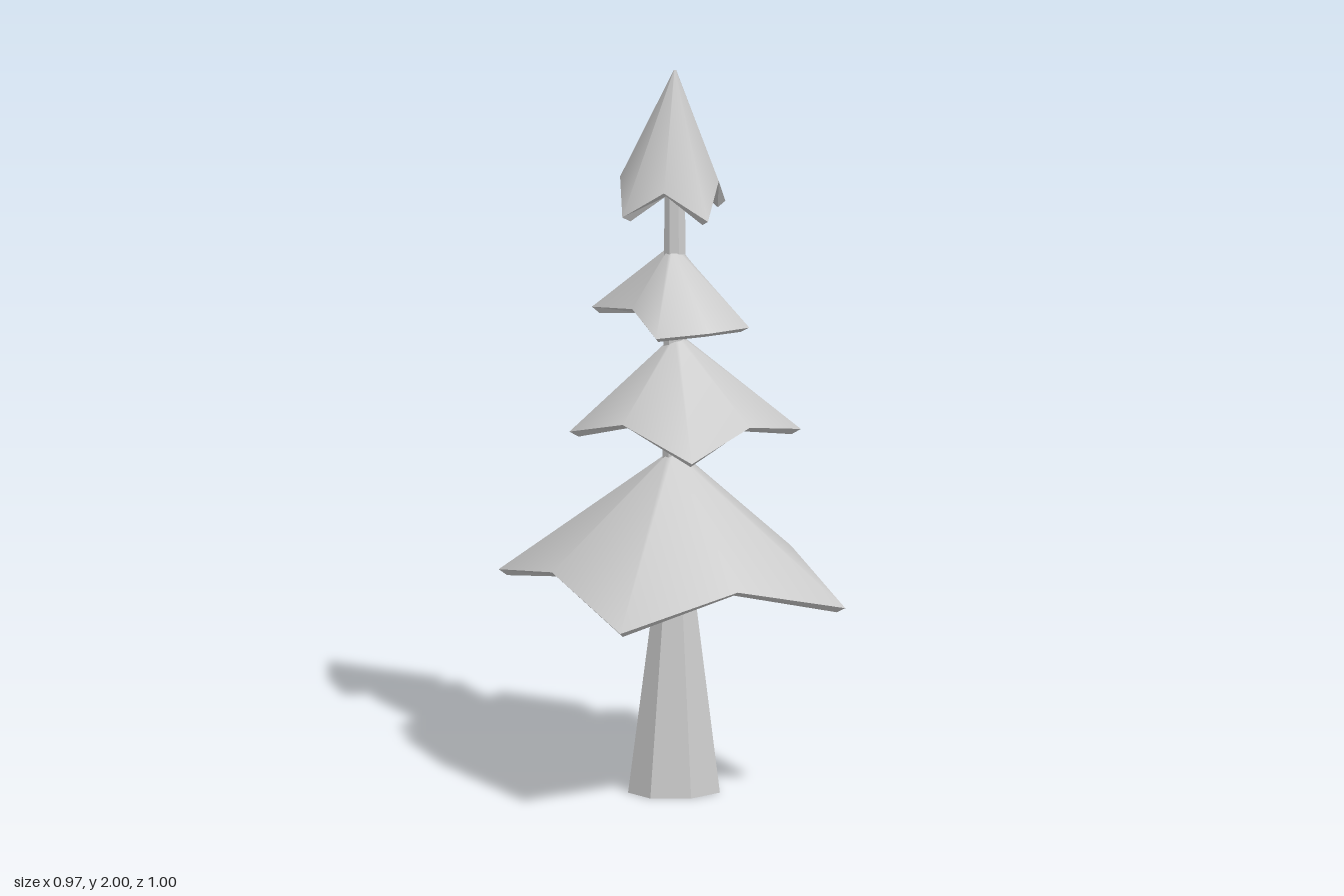
import * as THREE from 'three';

const smooth = new THREE.MeshStandardMaterial({ color: 0xcccccc });
const faceted = new THREE.MeshStandardMaterial({ color: 0xcccccc, flatShading: true });

// Closed strip of faces between a lower and an upper ring of points
function band(lower, upper, material, name) {
  const n = lower.length;
  const geometry = new THREE.BufferGeometry().setFromPoints([...lower, ...upper]);
  const index = [];
  for (let i = 0; i < n; i++) {
    const j = (i + 1) % n;
    index.push(i, j, n + i, j, n + j, n + i);
  }
  geometry.setIndex(index);
  geometry.computeVertexNormals();
  const mesh = new THREE.Mesh(geometry, material);
  mesh.name = name;
  return mesh;
}

// One layer of branches: a crooked cone with an eight-point rim and a shallow hollow underside
function tier({ name, apex, tip, hollow, rim }) {
  const outer = rim.map(([x, y, z]) => new THREE.Vector3(x, y, z));
  const [ax, ay, az] = apex;
  // Ring of the given radius around the apex axis, following the rim directions
  const ring = (radius, y) => outer.map((p) => {
    const k = radius / Math.hypot(p.x - ax, p.z - az);
    return new THREE.Vector3(ax + (p.x - ax) * k, y, az + (p.z - az) * k);
  });
  const lip = outer.map((p) => {
    const k = 1 - 0.025 / Math.hypot(p.x, p.z);
    return new THREE.Vector3(p.x * k, p.y - 0.014, p.z * k);
  });

  const group = new THREE.Group();
  group.name = name;
  group.add(
    band(outer, ring(tip, ay), smooth, 'foliageTop'),
    band(lip, outer, faceted, 'foliageRim'),
    band(ring(0.004, hollow), lip, smooth, 'foliageUnderside'),
  );
  return group;
}

// Rim points run front, +x, back, -x, alternating drooping corners and raised middles
const tiers = [
  {
    name: 'bottomBranches', apex: [0.006, 0.935, 0], tip: 0.022, hollow: 0.72,
    rim: [
      [0.095, 0.562, 0.5], [0.3, 0.645, 0.175], [0.485, 0.562, -0.17], [0.2, 0.645, -0.35],
      [-0.1, 0.562, -0.505], [-0.31, 0.645, -0.18], [-0.485, 0.562, 0.17], [-0.2, 0.645, 0.355],
    ],
  },
  {
    name: 'lowerMiddleBranches', apex: [0.015, 1.26, 0.004], tip: 0.014, hollow: 1.1,
    rim: [
      [0.215, 1, 0.268], [0.33, 1.012, 0.03], [0.312, 1, -0.21], [0.07, 1.06, -0.215],
      [-0.17, 1, -0.222], [-0.235, 1.065, 0], [-0.268, 1, 0.252], [-0.03, 1.055, 0.274],
    ],
  },
  {
    name: 'upperMiddleBranches', apex: [0.01, 1.505, -0.006], tip: 0.016, hollow: 1.385,
    rim: [
      [0.055, 1.306, 0.212], [0.132, 1.345, 0.07], [0.242, 1.306, -0.135], [0.12, 1.355, -0.21],
      [-0.005, 1.306, -0.265], [-0.12, 1.355, -0.05], [-0.192, 1.306, 0.08], [-0.1, 1.318, 0.19],
    ],
  },
  {
    name: 'treetop', apex: [0.008, 2, 0], tip: 0.003, hollow: 1.74,
    rim: [
      [-0.05, 1.612, 0.15], [0.063, 1.695, 0.105], [0.164, 1.612, 0.055], [0.122, 1.695, -0.055],
      [0.07, 1.612, -0.16], [-0.05, 1.695, -0.14], [-0.145, 1.612, -0.065], [-0.1, 1.685, 0.04],
    ],
  },
];

export function createModel() {
  const tree = new THREE.Group();
  tree.name = 'pineTree';

  // Seven-sided trunk, flared at the foot, wider along one diagonal
  const profile = [[0, 0], [0.128, 0], [0.05, 0.6], [0.034, 0.92], [0.028, 1.75], [0, 1.75]]
    .map(([r, y]) => new THREE.Vector2(r, y));
  const trunkShape = new THREE.LatheGeometry(profile, 7);
  trunkShape.scale(0.74, 1, 1).rotateY(THREE.MathUtils.degToRad(225)).translate(0.008, 0, 0);
  const trunk = new THREE.Mesh(trunkShape, faceted);
  trunk.name = 'trunk';
  tree.add(trunk);

  for (const spec of tiers) tree.add(tier(spec));
  return tree;
}
